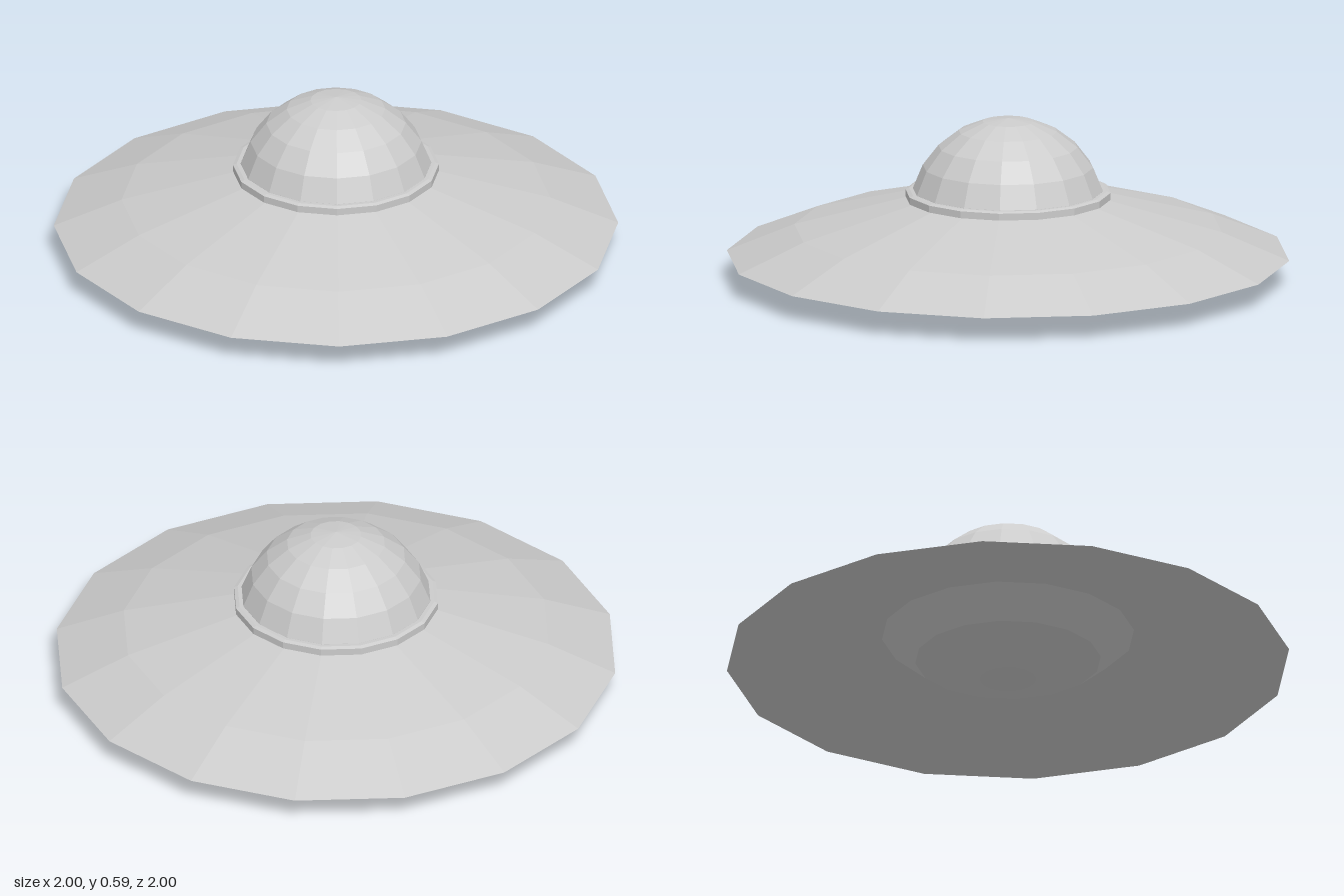
import * as THREE from 'three';

const SIDES = 16;
const material = new THREE.MeshStandardMaterial({ color: 0xcccccc, flatShading: true });

// Revolve a [radius, height] profile, listed from the outside-bottom upwards
function revolve(name, profile) {
  const points = profile.map(([r, y]) => new THREE.Vector2(r, y));
  const mesh = new THREE.Mesh(new THREE.LatheGeometry(points, SIDES), material);
  mesh.name = name;
  return mesh;
}

export function createModel() {
  const group = new THREE.Group();
  group.name = 'flyingSaucer';

  // Wide disc: hollow underside, sharp rim, two-slope top
  group.add(revolve('saucerDisc', [
    [0.44, 0.19], [1, 0.09], [0.76, 0.19], [0.34, 0.302],
  ]));

  // Shallow bowl hanging below the disc
  group.add(revolve('lowerBowl', [
    [0, 0], [0.1, 0.015], [0.33, 0.09], [0.45, 0.19],
  ]));

  // Collar around the foot of the dome
  group.add(revolve('domeCollar', [
    [0.34, 0.295], [0.365, 0.3], [0.365, 0.325], [0.352, 0.33], [0.33, 0.33],
  ]));

  // Faceted hemispherical dome
  const domeRadius = 0.35, domeBase = 0.24, rings = 6;
  const domeProfile = [];
  for (let i = 0; i <= rings; i++) {
    const a = (i / rings) * Math.PI / 2;
    domeProfile.push([i === rings ? 0 : domeRadius * Math.cos(a), domeBase + domeRadius * Math.sin(a)]);
  }
  group.add(revolve('dome', domeProfile));

  return group;
}
